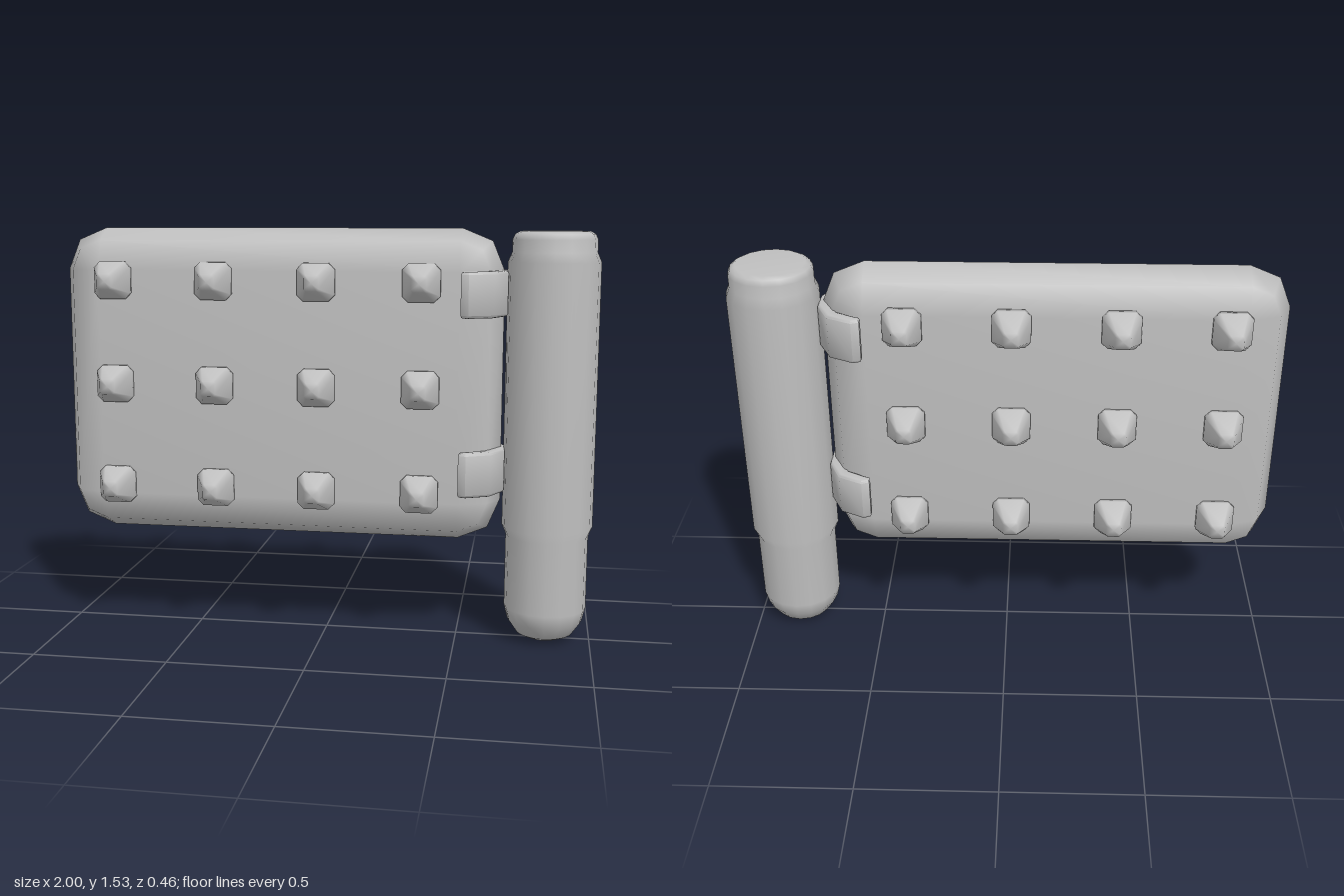
import * as THREE from 'three';
import { mergeVertices, toCreasedNormals } from 'three/addons/utils/BufferGeometryUtils.js';

// Skin a stack of counter-clockwise rings (ascending z) and close both ends
function loft(rings) {
  const n = rings[0].length, pos = [], idx = [];
  rings.forEach(r => r.forEach(p => pos.push(...p)));
  for (let k = 0; k < rings.length - 1; k++) {
    for (let i = 0; i < n; i++) {
      const j = (i + 1) % n, a = k * n + i, b = k * n + j;
      idx.push(a, b, a + n, b, b + n, a + n);
    }
  }
  const last = (rings.length - 1) * n, c0 = rings.length * n, c1 = c0 + 1;
  pos.push(0, 0, rings[0][0][2], 0, 0, rings[rings.length - 1][0][2]);
  for (let i = 0; i < n; i++) {
    const j = (i + 1) % n;
    idx.push(c0, j, i, c1, last + i, last + j);
  }
  let g = new THREE.BufferGeometry();
  g.setAttribute('position', new THREE.Float32BufferAttribute(pos, 3));
  g.setIndex(idx);
  g = mergeVertices(g, 1e-5);
  g.computeVertexNormals();
  return g;
}

// Rectangle ring with rounded corners of radius r, in a plane of constant z
function roundRing(halfW, halfH, r, z, segments) {
  const ring = [];
  [[1, 1], [-1, 1], [-1, -1], [1, -1]].forEach(([sx, sy], q) => {
    for (let s = 0; s <= segments; s++) {
      const a = (q + s / segments) * Math.PI / 2;
      ring.push([sx * halfW + r * Math.cos(a), sy * halfH + r * Math.sin(a), z]);
    }
  });
  return ring;
}

export function createModel() {
  const model = new THREE.Group();
  const grey = new THREE.MeshStandardMaterial({ color: 0xbfbfbf });
  grey.name = 'plain grey';

  const add = (name, geometry, x, y, z) => {
    const mesh = new THREE.Mesh(geometry, grey);
    mesh.name = name;
    mesh.position.set(x, y, z);
    model.add(mesh);
    return mesh;
  };

  // Slab with softly rounded edges all round
  const slabRings = [];
  for (let k = -2; k <= 2; k++) {
    const a = k * Math.PI / 4;
    slabRings.push(roundRing(0.673, 0.423, 0.155 * Math.cos(a), 0.125 * Math.sin(a), 2));
  }
  add('slab', loft(slabRings), -0.172, 0.952, 0);

  // Studs in a grid on both faces
  const stud = loft([
    roundRing(0.047, 0.047, 0.022, 0, 1),
    roundRing(0.047, 0.047, 0.022, 0.02, 1),
    roundRing(0.02, 0.02, 0.008, 0.11, 1),
  ]);
  for (let col = 0; col < 4; col++) {
    for (let row = 0; row < 3; row++) {
      const x = -0.785 + col * 0.383, y = 0.565 + row * 0.386;
      add('frontStud', stud, x, y, 0.12);
      add('backStud', stud, x, y, -0.12).rotation.y = Math.PI;
    }
  }

  // Handle: a sleeve with a rounded grip below and a stepped cap above
  const profile = [
    [0, 0], [0.06, 0.005], [0.105, 0.025], [0.14, 0.075], [0.152, 0.125],
    [0.152, 0.4], [0.167, 0.435], [0.167, 1.41], [0.152, 1.445],
    [0.152, 1.49], [0.143, 1.51], [0.125, 1.52], [0, 1.52],
  ].map(([r, y]) => new THREE.Vector2(r, y));
  add('handle', new THREE.LatheGeometry(profile, 16), 0.832, 0, 0);

  // Bent clamps that join the slab to the handle
  const bevel = 0.01;
  const outer = [[0.517, 0.16], [0.535, 0.168], [0.617, 0.127], [0.66, 0.04]];
  const inner = [[0.635, 0.03], [0.6, 0.105], [0.53, 0.143], [0.517, 0.148]];
  const flip = pts => pts.map(([x, z]) => [x, -z]).reverse();
  const outline = [...outer, ...flip(outer), ...flip(inner), ...flip(flip(inner).reverse()).reverse()]
    .slice(0, 12).concat(inner);
  const clampShape = new THREE.Shape(outline.map(([x, z]) => new THREE.Vector2(x, z)));
  const height = 0.145;
  const clamp = new THREE.ExtrudeGeometry(clampShape, {
    depth: height, bevelEnabled: true, bevelSize: bevel, bevelThickness: bevel, bevelSegments: 2,
  });
  clamp.translate(0, 0, -height / 2);
  clamp.rotateX(Math.PI / 2);
  const clampSmooth = toCreasedNormals(clamp, 0.9);
  add('upperClamp', clampSmooth, 0, 1.297, 0);
  add('lowerClamp', clampSmooth, 0, 0.647, 0);

  return model;
}
